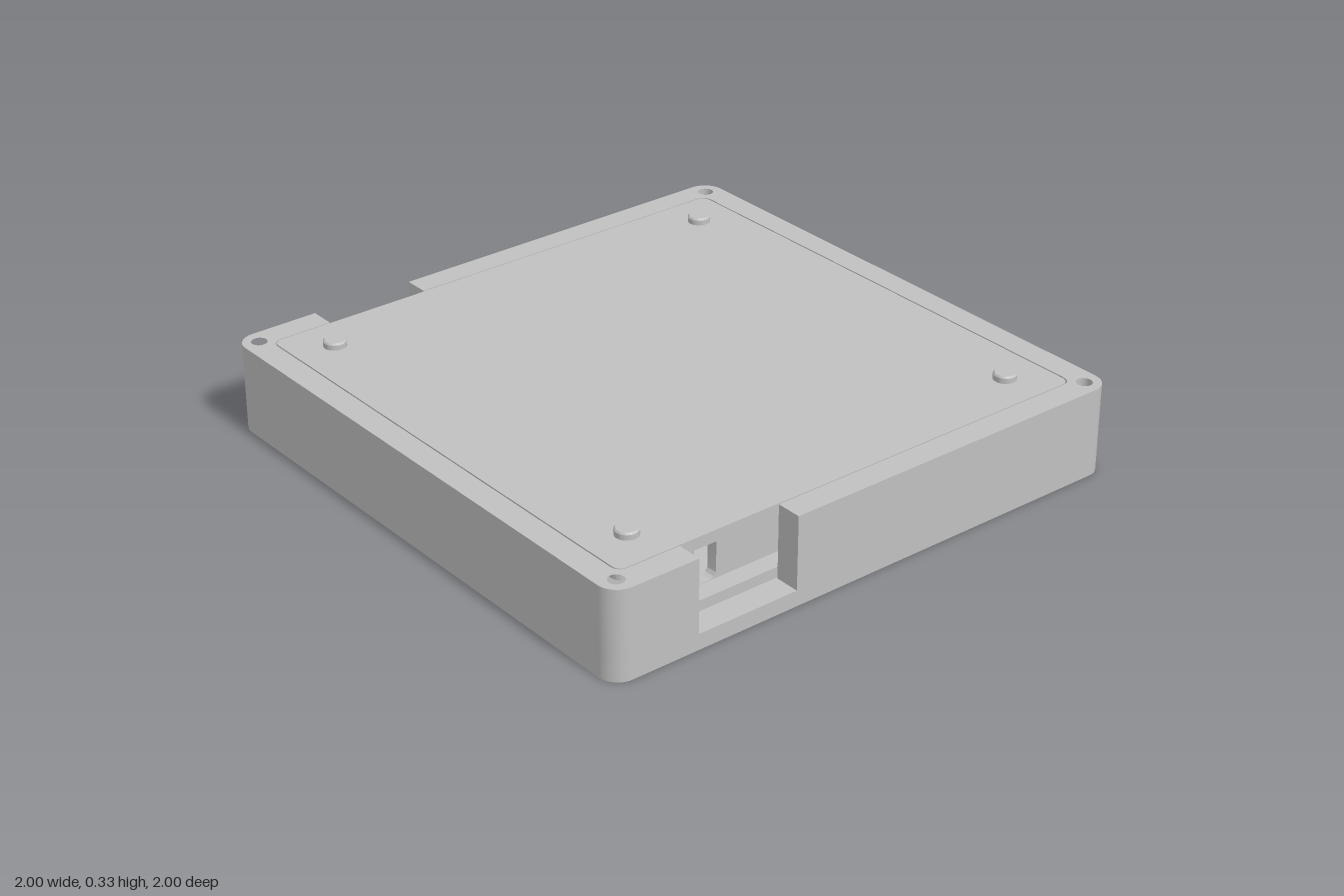
import * as THREE from 'three';
import { toCreasedNormals } from 'three/addons/utils/BufferGeometryUtils.js';

const grey = new THREE.MeshStandardMaterial({ color: 0xc0c0c0 });
grey.name = 'light grey';

// Closed outline from corners [x, y, radius]
function outline(corners) {
  const shape = new THREE.Shape();
  const n = corners.length;
  const toward = (a, b, d) => {
    const l = Math.hypot(b[0] - a[0], b[1] - a[1]) || 1;
    return [a[0] + (b[0] - a[0]) * d / l, a[1] + (b[1] - a[1]) * d / l];
  };
  corners.forEach((c, i) => {
    const prev = corners[(i + n - 1) % n], next = corners[(i + 1) % n], r = c[2] || 0;
    const a = toward(c, prev, r), b = toward(c, next, r);
    if (i === 0) shape.moveTo(...a); else shape.lineTo(...a);
    if (r > 0) shape.bezierCurveTo(...toward(c, prev, r * 0.448), ...toward(c, next, r * 0.448), ...b);
  });
  shape.closePath();
  return shape;
}

const rect = (x0, y0, x1, y1, r) => outline([[x0, y0, r], [x1, y0, r], [x1, y1, r], [x0, y1, r]]);

function hole(shape, x, y, r) {
  shape.holes.push(new THREE.Path().absarc(x, y, r, 0, Math.PI * 2, true));
}

// Horizontal slab: outline in plan (x, -z), from height y0 to y1
function slab(shape, y0, y1) {
  const g = new THREE.ExtrudeGeometry(shape, { depth: y1 - y0, bevelEnabled: false, curveSegments: 12 });
  g.rotateX(-Math.PI / 2).translate(0, y0, 0);
  return toCreasedNormals(g, 0.6);
}

export function createModel() {
  const model = new THREE.Group();
  model.name = 'shallowCase';
  const add = (name, geometry, x = 0, y = 0, z = 0) => {
    const mesh = new THREE.Mesh(geometry, grey);
    mesh.name = name;
    mesh.position.set(x, y, z);
    model.add(mesh);
  };
  const H = 0.31, FLOOR = 0.055, INNER = 0.912, LID = 0.907, CORNER = 0.94;

  // Base plate with screw holes at corners, edge pairs and centre
  const base = rect(-1, -1, 1, 1, 0.07);
  for (const a of [-1, 1]) for (const b of [-1, 1]) {
    hole(base, a * CORNER, b * CORNER, 0.027);
    hole(base, a * 0.1, b * 0.1, 0.02);
    hole(base, a * 0.1, b * 0.92, 0.02);
    hole(base, a * 0.92, b * 0.1, 0.02);
  }
  add('basePlate', slab(base, 0, FLOOR));

  // U-shaped walls either side of the two notches
  for (const [name, s, e] of [['frontWall', 1, 0.687], ['backWall', -1, -0.312]]) {
    const wall = outline([
      [1, -s * e, 0], [1, -s, 0.07], [-1, -s, 0.07], [-1, -s * e, 0],
      [-INNER, -s * e, 0], [-INNER, -s * INNER, 0.035], [INNER, -s * INNER, 0.035], [INNER, -s * e, 0],
    ]);
    for (const a of [-1, 1]) hole(wall, a * CORNER, -s * CORNER, 0.027);
    add(name, slab(wall, FLOOR, H));
  }

  // Tray floor and lid
  add('trayFloor', slab(rect(-LID, -LID, LID, LID, 0.03), FLOOR, 0.092));
  add('lid', slab(rect(-LID, -LID, LID, LID, 0.03), 0.27, H));

  // Lid studs and blind ends of the corner holes
  const stud = new THREE.LatheGeometry([[0, 0.024], [0.034, 0.024], [0.039, 0.018], [0.039, -0.01]]
    .reverse().map(p => new THREE.Vector2(...p)), 32);
  const studGeometry = toCreasedNormals(stud, 0.4);
  const plug = new THREE.CylinderGeometry(0.027, 0.027, 0.16, 24);
  for (const a of [-1, 1]) for (const b of [-1, 1]) {
    add('lidStud', studGeometry, a * 0.763, H, b * 0.763);
    add('cornerHoleEnd', plug, a * CORNER, 0.17, b * CORNER);
  }

  // Inner side panels with a rounded slot lined up with the notches
  const panel = rect(-0.9, 0.09, 0.9, 0.272, 0);
  panel.holes.push(rect(-0.6, 0.094, -0.49, 0.268, 0.025));
  const panelGeometry = toCreasedNormals(new THREE.ExtrudeGeometry(panel,
    { depth: 0.04, bevelEnabled: false, curveSegments: 8 }).rotateY(Math.PI / 2), 0.6);
  const post = new THREE.CylinderGeometry(0.034, 0.034, 0.18, 24);
  for (const s of [-1, 1]) {
    add('innerPanel', panelGeometry, s * 0.82 - 0.02, 0, 0);
    add('innerPost', post, s * 0.86, 0.181, 0.635);
  }
  return model;
}
